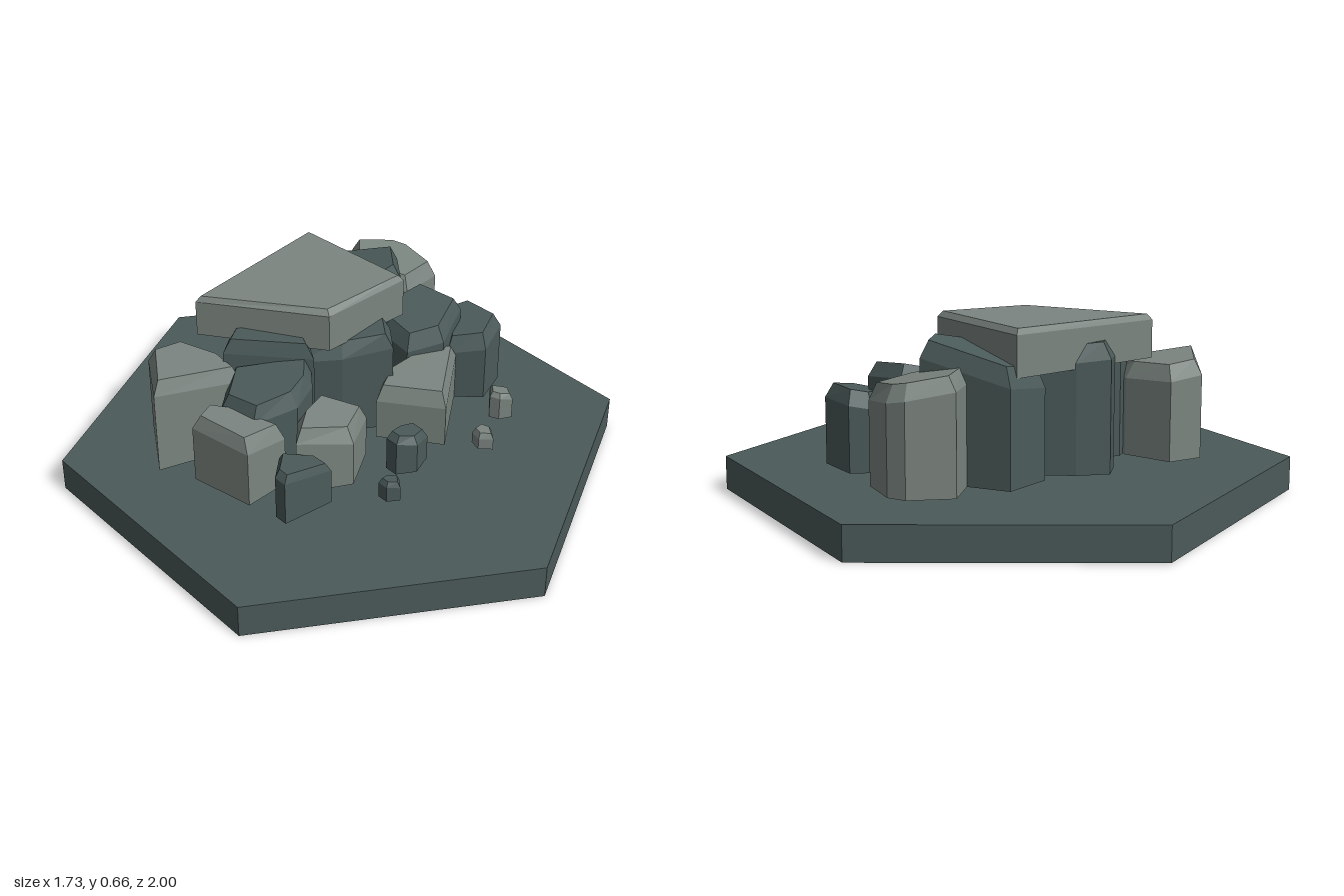
import * as THREE from 'three';

const darkStone = new THREE.MeshStandardMaterial({ name: 'darkStone', color: 0x4b5b5a });
const paleStone = new THREE.MeshStandardMaterial({ name: 'paleStone', color: 0x7b8580 });

// Faceted boulder: vertical walls over an [x, z] outline, a bevelled rim and a tilted flat top.
// h is the top height at the middle; sx and sz are the tilt of the top along x and z.
function rock(name, material, outline, h, sx = 0, sz = 0, { y0 = 0.14, inset = 0.03, drop = 0.055 } = {}) {
  let pts = outline.map(([x, z]) => new THREE.Vector2(x, z));
  if (THREE.ShapeUtils.area(pts) > 0) pts = pts.reverse();
  const n = pts.length;
  const c = pts.reduce((s, p) => s.add(p), new THREE.Vector2()).divideScalar(n);
  const top = (p) => h + sx * (p.x - c.x) + sz * (p.y - c.y);
  const inner = pts.map((p) => p.clone().lerp(c, Math.min(0.5, inset / p.distanceTo(c))));
  const rings = [
    pts.map((p) => [p.x, y0, p.y]),
    pts.map((p) => [p.x, top(p) - drop, p.y]),
    inner.map((p) => [p.x, top(p), p.y]),
  ];
  const pos = [];
  const tri = (...corners) => corners.forEach((v) => pos.push(...v));
  for (let i = 0; i < n; i++) {
    const j = (i + 1) % n;
    for (let r = 0; r < 2; r++) {
      const [a, b] = [rings[r], rings[r + 1]];
      tri(a[i], a[j], b[j]);
      tri(a[i], b[j], b[i]);
    }
    tri(rings[2][i], rings[2][j], [c.x, h, c.y]);
    tri(rings[0][j], rings[0][i], [c.x, y0, c.y]);
  }
  const geo = new THREE.BufferGeometry();
  geo.setAttribute('position', new THREE.Float32BufferAttribute(pos, 3));
  geo.computeVertexNormals();
  const mesh = new THREE.Mesh(geo, material);
  mesh.name = name;
  return mesh;
}

export function createModel() {
  const model = new THREE.Group();
  model.name = 'rockPileTile';

  // Hexagonal ground tile with corners at front and back
  const hex = new THREE.CylinderGeometry(1, 1, 0.12, 6).toNonIndexed();
  hex.computeVertexNormals();
  const base = new THREE.Mesh(hex, darkStone);
  base.name = 'hexBase';
  base.position.y = 0.06;
  model.add(base);

  const small = { inset: 0.02, drop: 0.03 };
  const tiny = { inset: 0.012, drop: 0.02 };

  model.add(
    // Capping slab
    rock('topSlab', paleStone, [[-0.36, -0.36], [0.23, -0.46], [0.27, 0.01], [-0.08, 0.02]],
      0.657, 0.015, 0, { y0: 0.5, inset: 0.02, drop: 0.02 }),

    // Back row
    rock('backRightBoulder', paleStone, [[-0.53, -0.42], [-0.40, -0.42], [-0.33, -0.25], [-0.35, -0.13], [-0.655, -0.21]],
      0.48, -0.1, 0),
    rock('backLeftBoulder', paleStone, [[0.46, -0.48], [0.61, -0.42], [0.645, -0.36], [0.63, -0.20], [0.45, -0.16], [0.34, -0.34]],
      0.51, -0.12, -0.13),
    rock('backLeftDarkRock', darkStone, [[0.27, -0.49], [0.46, -0.23], [0.37, -0.11], [0.10, -0.12], [0.10, -0.42]],
      0.57, 0.2, 0.15, { drop: 0.065 }),
    rock('backDarkRock', darkStone, [[-0.19, -0.39], [-0.13, -0.46], [-0.02, -0.42], [0.16, -0.30], [0.08, -0.12], [-0.16, -0.15]],
      0.57, -0.05, -0.1, { drop: 0.06 }),

    // Middle row
    rock('innerDarkRock', darkStone, [[-0.37, -0.20], [-0.30, -0.26], [-0.14, -0.22], [-0.10, -0.06], [-0.14, 0.01]],
      0.545, -0.08, 0),
    rock('centreDarkRock', darkStone, [[-0.15, -0.08], [-0.03, 0.03], [0.13, 0.115], [0.20, 0.02], [0.19, -0.20], [-0.10, -0.24]],
      0.51, 0.13, 0),
    rock('rightDarkRock', darkStone, [[-0.47, -0.09], [-0.35, -0.19], [-0.13, -0.02], [-0.19, 0.06], [-0.29, 0.10], [-0.44, 0.05]],
      0.455, 0.2, -0.05),
    rock('leftDarkRock', darkStone, [[0.24, 0.07], [0.24, -0.06], [0.31, -0.14], [0.47, -0.11], [0.51, 0.06], [0.36, 0.13]],
      0.475, 0.25, -0.15),
    rock('rightPaleRock', paleStone, [[-0.59, -0.09], [-0.50, -0.14], [-0.43, -0.08], [-0.37, 0.13], [-0.54, 0.145]],
      0.395, -0.12, 0),
    rock('leftOuterDarkRock', darkStone, [[0.55, -0.05], [0.62, -0.02], [0.63, 0.15], [0.50, 0.205], [0.40, 0.11]],
      0.41, 0.2, 0),

    // Front row
    rock('frontLeftBoulder', paleStone, [[0.04, 0.13], [0.14, 0.06], [0.37, 0.06], [0.425, 0.13], [0.19, 0.325]],
      0.36, 0.07, -0.05),
    rock('frontRightBoulder', paleStone, [[-0.38, 0.20], [-0.29, 0.10], [-0.14, 0.04], [-0.05, 0.18], [-0.20, 0.285]],
      0.375, -0.17, -0.08),
    rock('frontRightDarkRock', darkStone, [[-0.42, 0.16], [-0.32, 0.24], [-0.32, 0.31], [-0.51, 0.30], [-0.51, 0.25]],
      0.317, -0.16, 0, small),
    rock('frontDarkRock', darkStone, [[-0.055, 0.29], [0.02, 0.26], [0.09, 0.275], [0.09, 0.34], [0.01, 0.375], [-0.055, 0.34]],
      0.28, -0.22, 0, small),

    // Pebbles
    rock('darkPebble', darkStone, [[-0.18, 0.39], [-0.14, 0.38], [-0.105, 0.41], [-0.14, 0.455], [-0.18, 0.43]],
      0.213, -0.15, 0, tiny),
    rock('palePebble', paleStone, [[0.275, 0.375], [0.32, 0.37], [0.335, 0.41], [0.30, 0.455], [0.262, 0.42]],
      0.202, 0, 0, tiny),
    rock('largePalePebble', paleStone, [[0.43, 0.305], [0.475, 0.26], [0.525, 0.305], [0.49, 0.36], [0.445, 0.34]],
      0.24, -0.2, 0, tiny),
  );
  return model;
}
